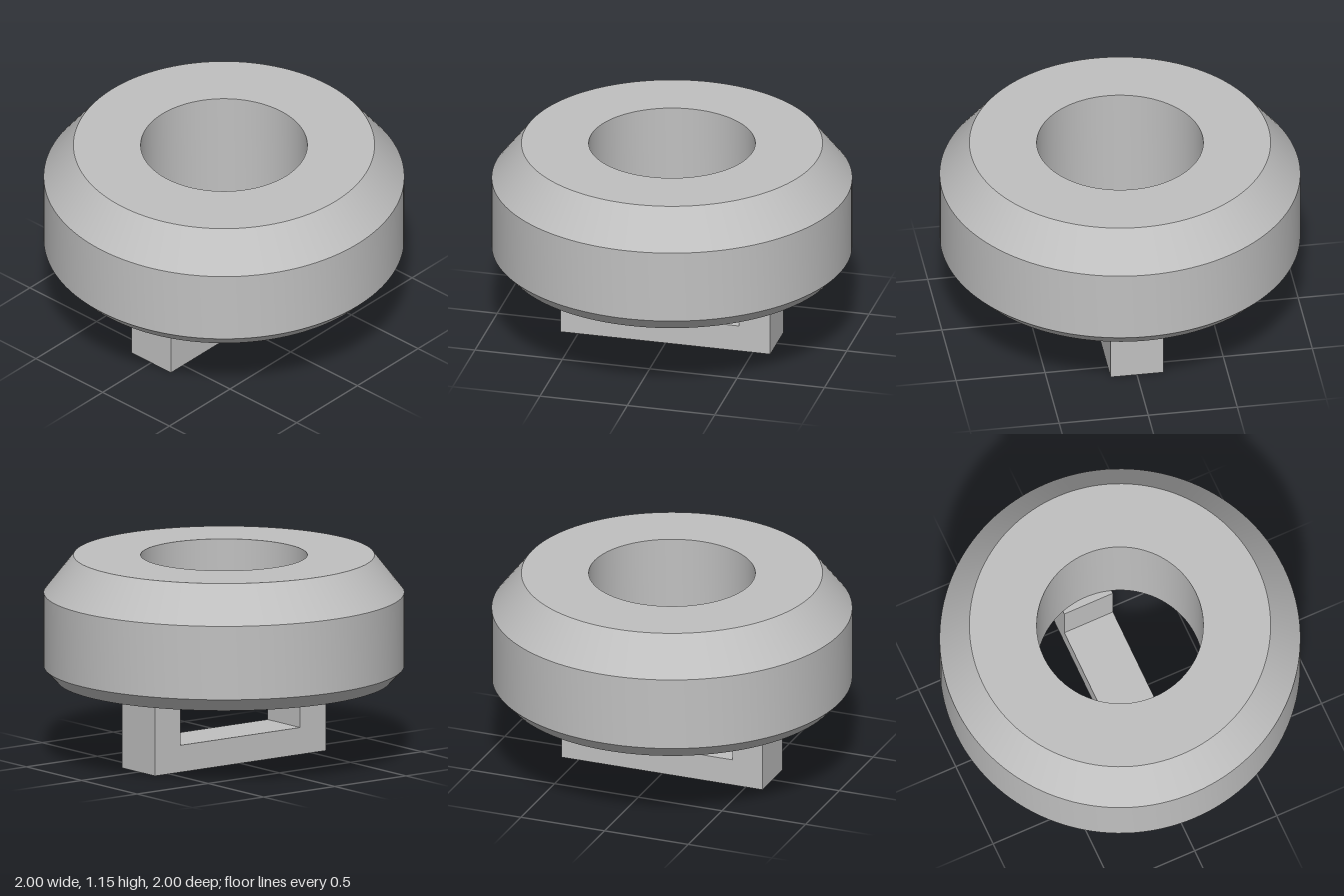
import * as THREE from 'three';
import { toCreasedNormals } from 'three/addons/utils/BufferGeometryUtils.js';

export function createModel() {
  const model = new THREE.Group();
  const grey = new THREE.MeshStandardMaterial({ color: 0xc0c0c0 });
  grey.name = 'grey';

  const add = (name, geometry) => {
    const mesh = new THREE.Mesh(geometry, grey);
    mesh.name = name;
    model.add(mesh);
  };

  // Chamfered ring with a straight bore, as one closed profile
  const bottom = 0.455, top = 1.155, bore = 0.462;
  const profile = [
    [bore, bottom], [0.93, bottom], [1, 0.53], [1, 0.945],
    [0.835, top], [bore, top], [bore, bottom],
  ].map(([r, y]) => new THREE.Vector2(r, y));
  add('ring', toCreasedNormals(new THREE.LatheGeometry(profile, 128), 0.4));

  // U-shaped bracket below the ring
  const outer = 0.6, inner = 0.42, floor = 0.152, depth = 0.296;
  const outline = new THREE.Shape([
    [-outer, 0], [outer, 0], [outer, bottom], [inner, bottom],
    [inner, floor], [-inner, floor], [-inner, bottom], [-outer, bottom],
  ].map(([x, y]) => new THREE.Vector2(x, y)));
  const bracket = new THREE.ExtrudeGeometry(outline, { depth, bevelEnabled: false });
  bracket.translate(0, 0, -depth / 2);
  add('bracket', bracket);

  return model;
}
